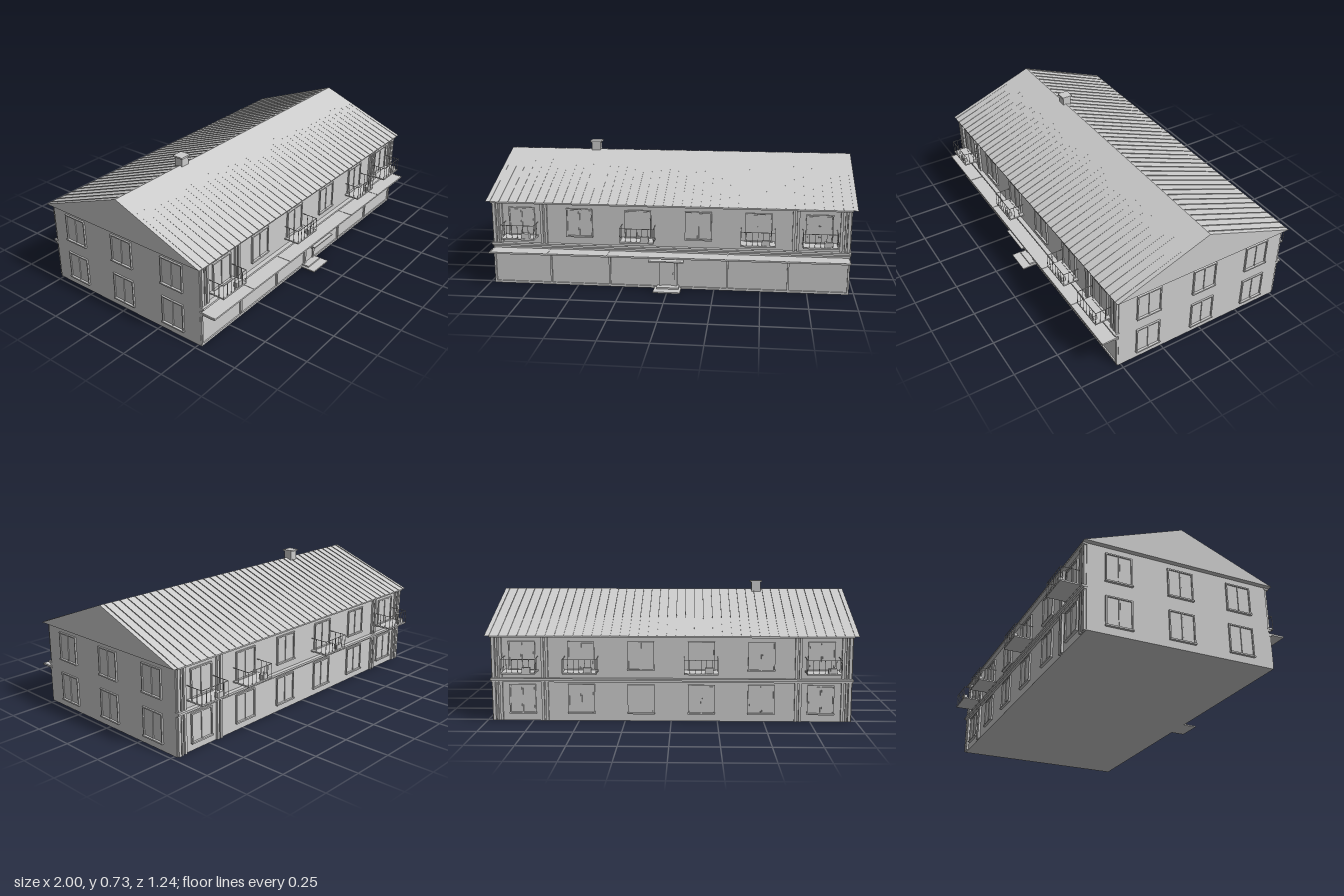
import * as THREE from 'three';

const grey = new THREE.MeshStandardMaterial({ color: 0xcccccc });
grey.name = 'plain grey';

// box given by its min/max limits on each axis
function box(parent, name, x0, x1, y0, y1, z0, z1) {
  const mesh = new THREE.Mesh(new THREE.BoxGeometry(x1 - x0, y1 - y0, z1 - z0), grey);
  mesh.position.set((x0 + x1) / 2, (y0 + y1) / 2, (z0 + z1) / 2);
  mesh.name = name;
  parent.add(mesh);
  return mesh;
}

function group(parent, name, x = 0, y = 0, z = 0, turn = 0) {
  const g = new THREE.Group();
  g.name = name;
  g.position.set(x, y, z);
  g.rotation.y = turn;
  parent.add(g);
  return g;
}

// double-sash window facing +z, sitting on the wall plane
function addWindow(parent, x, y, z, turn, height) {
  const g = group(parent, 'window', x, y, z, turn);
  const w = 0.072, f = 0.007, d = 0.009;
  box(g, 'windowGlass', -w, w, 0, height, -0.004, 0.002);
  for (const s of [-1, 1]) {
    box(g, 'windowJamb', s * (w - f / 2) - f / 2, s * (w - f / 2) + f / 2, 0, height, 0, d);
    box(g, 'windowSash', s * 0.034 - 0.029, s * 0.034 + 0.029, f + 0.003, height - f - 0.003, 0, 0.004);
  }
  box(g, 'windowMullion', -0.003, 0.003, 0, height, 0, 0.007);
  box(g, 'windowHead', -w, w, height - f, height, 0, d);
  box(g, 'windowSill', -w - 0.002, w + 0.002, -0.002, 0.006, 0, 0.014);
}

// balcony facing +z: slab, thin railing and a planter box in the corner
function addBalcony(parent, x, y, z, turn, depth) {
  const g = group(parent, 'balcony', x, y, z, turn);
  const w = 0.091, top = 0.082, r = 0.0012;
  box(g, 'balconySlab', -w, w, 0, 0.008, 0, depth);
  box(g, 'frontRail', -w, w, top - 0.003, top, depth - 0.003, depth);
  for (const s of [-1, 1]) {
    const x0 = s * (w - r);
    box(g, 'sideRail', x0 - r, x0 + r, top - 0.003, top, 0, depth);
    for (let i = 1; i < 3; i++) {
      box(g, 'sideBaluster', x0 - r, x0 + r, 0.008, top, depth * i / 3 - r, depth * i / 3 + r);
    }
  }
  for (let i = 0; i <= 6; i++) {
    const bx = -w + r + i * (w - r) / 3;
    box(g, 'frontBaluster', bx - r, bx + r, 0.008, top, depth - 2 * r, depth);
  }
  box(g, 'planter', 0.02, 0.064, 0.008, 0.036, depth - 0.026, depth - 0.004);
}

export function createModel() {
  const model = new THREE.Group();
  model.name = 'apartmentHouse';
  const X = 0.973, Z = 0.515;
  const eave = 0.47, ridge = 0.675, zEave = 0.54, zMid = -0.004;

  box(model, 'walls', -X, X, 0, eave, -Z, Z);

  // Gabled roof, a solid prism along x
  const roof = group(model, 'roof');
  const profile = new THREE.Shape();
  profile.moveTo(-zEave, eave - 0.001);
  profile.lineTo(zEave, eave - 0.001);
  profile.lineTo(-zMid, ridge);
  profile.closePath();
  const prism = new THREE.Mesh(
    new THREE.ExtrudeGeometry(profile, { depth: 2, bevelEnabled: false }), grey);
  prism.rotation.y = -Math.PI / 2;
  prism.position.x = 1;
  // shape x becomes +z after the turn, so mirror the small ridge offset
  prism.geometry.translate(0, 0, 0);
  prism.name = 'roofSlopes';
  roof.add(prism);

  // Standing seams on both slopes
  const rise = ridge - eave;
  for (const s of [-1, 1]) {
    const run = zEave - s * zMid;
    const len = Math.hypot(run, rise);
    for (let i = 0; i < 40; i++) {
      const seam = new THREE.Mesh(new THREE.BoxGeometry(0.003, 0.004, len - 0.004), grey);
      seam.position.set(-0.975 + i * 0.05, (eave + ridge) / 2, zMid + s * run / 2);
      seam.rotation.x = s * Math.atan2(rise, run);
      seam.name = 'roofSeam';
      roof.add(seam);
    }
  }

  // Chimney
  const chimney = group(model, 'chimney', -0.488, 0, -0.007);
  box(chimney, 'chimneyStack', -0.026, 0.026, 0.6, 0.716, -0.025, 0.025);
  box(chimney, 'chimneyCap', -0.033, 0.033, 0.716, 0.725, -0.032, 0.032);

  // Windows on the long sides; balconies on four of the six bays
  const bays = [-0.805, -0.485, -0.163, 0.163, 0.485, 0.805];
  for (const x of bays) {
    addWindow(model, x, 0.28, Z, 0, 0.157);
    addWindow(model, x, 0.28, -Z, Math.PI, 0.157);
    addWindow(model, x, 0.042, -Z, Math.PI, 0.16);
  }
  for (const x of [-0.808, -0.16, 0.483, 0.808]) {
    addBalcony(model, x, 0.275, Z, 0, 0.09);
    addBalcony(model, x, 0.275, -Z, Math.PI, 0.104);
  }

  // Gable-end windows
  for (const s of [-1, 1]) {
    for (const z of [0.337, -0.006, -0.347]) {
      addWindow(model, s * X, 0.28, z, s * Math.PI / 2, 0.157);
      addWindow(model, s * X, 0.042, z, s * Math.PI / 2, 0.16);
    }
  }

  // Pilasters and cornices: upper floor in front, both floors behind
  for (const side of [-1, 1]) {
    const trim = group(model, side > 0 ? 'frontTrim' : 'backTrim', 0, 0, 0, side > 0 ? 0 : Math.PI);
    for (const s of [-1, 1]) {
      for (const [c, h] of [[0.96, 0.008], [0.942, 0.005], [0.92, 0.007], [0.694, 0.007], [0.671, 0.007]]) {
        box(trim, 'pilaster', s * c - h, s * c + h, side > 0 ? 0.235 : 0.002, 0.462, Z - 0.005, Z + 0.012);
      }
    }
    box(trim, 'floorBand', -X - 0.002, X + 0.002, 0.226, 0.237, Z - 0.005, Z + 0.025);
    box(trim, 'floorBandLower', -X, X, 0.215, 0.226, Z - 0.005, Z + 0.014);
    box(trim, 'eaveBand', -X - 0.002, X + 0.002, 0.46, 0.47, Z - 0.005, Z + 0.022);
  }

  // Ground-floor shop front: long canopy, posts and sill
  const shop = group(model, 'shopFront');
  box(shop, 'canopy', -X, 0.968, 0.194, 0.203, Z, 0.606);
  box(shop, 'canopyBeam', -X, X, 0.186, 0.194, Z, 0.53);
  box(shop, 'baseSill', -X, X, 0, 0.012, Z, 0.522);
  for (const x of [-0.967, -0.65, -0.322, 0.322, 0.648, 0.967]) {
    box(shop, 'shopPost', x - 0.005, x + 0.005, 0.012, 0.194, Z, 0.525);
    box(shop, 'canopySeam', x - 0.002, x + 0.002, 0.203, 0.205, Z, 0.606);
  }

  // Entrance: framed door, steps and small awning
  const entry = group(model, 'entrance');
  box(entry, 'doorLeaf', -0.036, 0.036, 0.015, 0.155, Z, 0.52);
  for (const s of [-1, 1]) {
    box(entry, 'doorJamb', s * 0.043 - 0.007, s * 0.043 + 0.007, 0.015, 0.165, Z, 0.527);
  }
  box(entry, 'doorHead', -0.05, 0.05, 0.155, 0.165, Z, 0.527);
  box(entry, 'doorHandle', 0.026, 0.03, 0.08, 0.092, 0.52, 0.527);
  box(entry, 'lowerStep', -0.074, 0.072, 0.002, 0.009, Z, 0.608);
  box(entry, 'upperStep', -0.06, 0.06, 0.009, 0.018, Z, 0.56);
  box(entry, 'awning', -0.096, 0.092, 0.178, 0.185, Z, 0.618);
  box(entry, 'awningBracket', -0.006, 0.006, 0.165, 0.195, Z, 0.535);

  return model;
}
